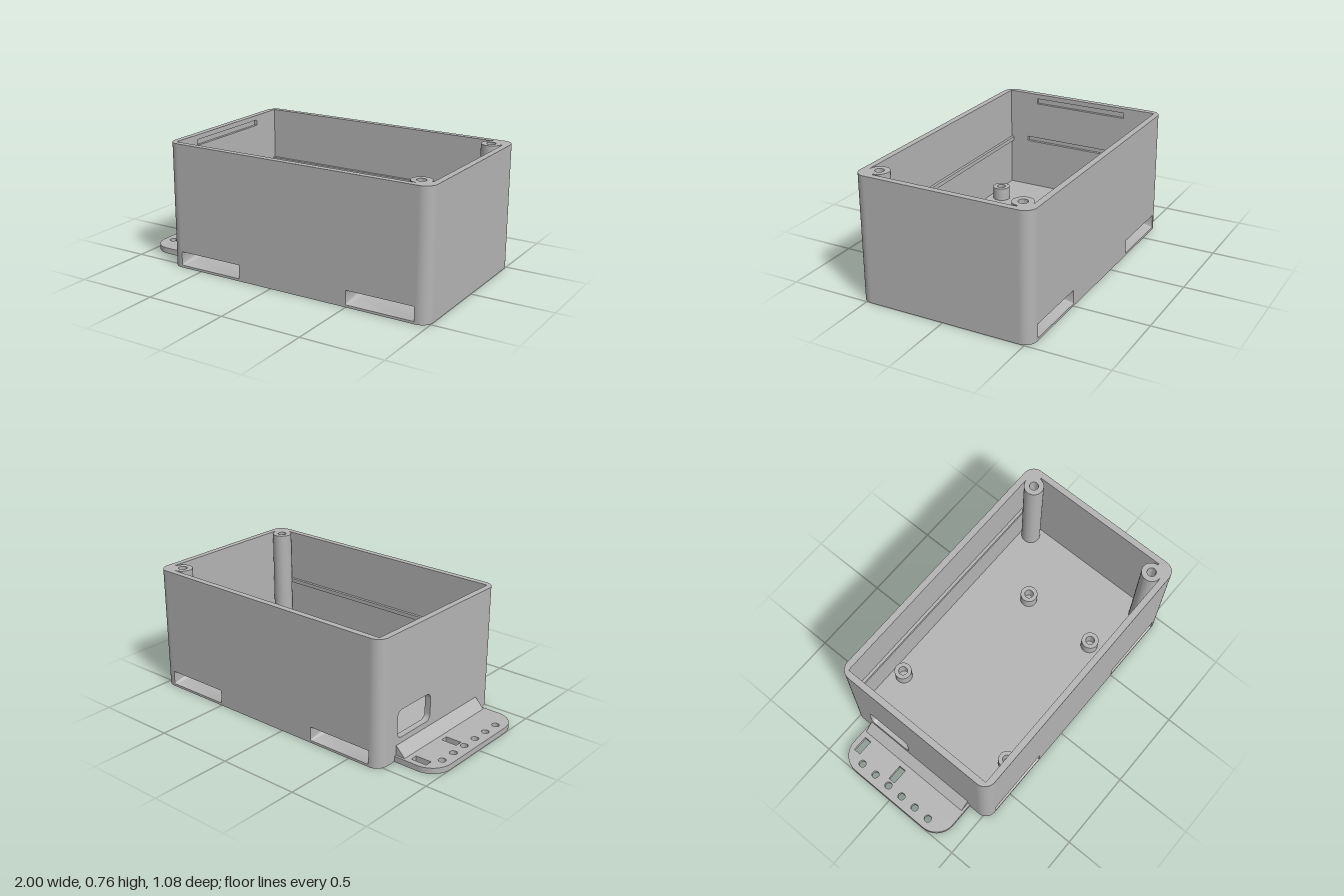
import * as THREE from 'three';
import { toCreasedNormals } from 'three/addons/utils/BufferGeometryUtils.js';

const X0 = -0.715, X1 = 1, Z = 0.54, H = 0.765;   // outer body
const T = 0.038, R = 0.07, FLOOR = 0.125;         // wall, corner radius, floor top
const TAU = Math.PI * 2;

export function createModel() {
  const model = new THREE.Group();
  const grey = new THREE.MeshStandardMaterial({ color: 0xb4b4b4 });
  grey.name = 'grey plastic';
  const inside = new THREE.MeshStandardMaterial({ color: 0xb4b4b4, side: THREE.DoubleSide });
  inside.name = 'grey plastic tunnel';

  const add = (name, geometry, x = 0, y = 0, z = 0, material = grey) => {
    const mesh = new THREE.Mesh(geometry, material);
    mesh.name = name;
    mesh.position.set(x, y, z);
    model.add(mesh);
    return mesh;
  };
  const box = (name, x0, x1, y0, y1, z0, z1) =>
    add(name, new THREE.BoxGeometry(x1 - x0, y1 - y0, z1 - z0), (x0 + x1) / 2, (y0 + y1) / 2, (z0 + z1) / 2);
  const extrude = (shape, depth) => toCreasedNormals(
    new THREE.ExtrudeGeometry(shape, { depth, bevelEnabled: false, curveSegments: 12 }), 0.6);
  const upright = (shape, depth) => extrude(shape, depth).rotateX(-Math.PI / 2);
  const circle = (x, y, r) => new THREE.Path().absarc(x, y, r, 0, TAU, true);

  // Points round a rectangle with rounded corners
  const roundRect = (x0, x1, y0, y1, r) => {
    const points = [];
    [[x1 - r, y1 - r], [x0 + r, y1 - r], [x0 + r, y0 + r], [x1 - r, y0 + r]].forEach(([cx, cy], i) => {
      for (let k = 0; k <= 8; k++) {
        const a = (i + k / 8) * Math.PI / 2;
        points.push(new THREE.Vector2(cx + r * Math.cos(a), cy + r * Math.sin(a)));
      }
    });
    return points;
  };
  const rect = (...args) => new THREE.Shape(
    [[0, 2], [1, 2], [1, 3], [0, 3]].map(([i, j]) => new THREE.Vector2(args[i], args[j])));

  // Long walls with strap slots
  const slots = [[-0.64, -0.22], [0.5, 0.92]];
  const longWall = rect(X0 + R, X1 - R, 0, H);
  slots.forEach(([a, b]) => longWall.holes.push(rect(a, b, 0.015, 0.1)));
  add('frontWall', extrude(longWall, T), 0, 0, Z - T);
  add('backWall', extrude(longWall, T), 0, 0, -Z);

  // Strap tunnels under the floor, flared at both mouths
  slots.forEach(([a, b]) => {
    const mouth = roundRect(a, b, 0.015, 0.1, 0.003);
    const bore = roundRect(a + 0.01, b - 0.01, 0.03, 0.085, 0.027);
    const rings = [[mouth, Z], [bore, Z - 0.1], [bore, 0.1 - Z], [mouth, -Z]];
    const n = mouth.length, pos = [], index = [];
    rings.forEach(([points, z]) => points.forEach(p => pos.push(p.x, p.y, z)));
    for (let i = 0; i < 3; i++) for (let j = 0; j < n; j++) {
      const p = i * n + j, q = i * n + (j + 1) % n;
      index.push(p, q, p + n, q, q + n, p + n);
    }
    const g = new THREE.BufferGeometry();
    g.setAttribute('position', new THREE.Float32BufferAttribute(pos, 3));
    g.setIndex(index);
    add('strapTunnel', toCreasedNormals(g, 0.6), 0, 0, 0, inside);
  });

  // Right end wall is plain; the other has a port window and two inner grooves
  box('plainEndWall', X1 - T, X1, 0, H, R - Z, Z - R);
  const portWall = grooves => {
    const s = rect(R - Z, Z - R, 0, H);
    s.holes.push(new THREE.Path(roundRect(-0.38, -0.08, 0.13, 0.3, 0.035)));
    if (grooves) s.holes.push(rect(-0.3, 0.31, 0.7, 0.735), rect(-0.38, 0.38, 0.435, 0.465));
    return extrude(s, T / 2).rotateY(-Math.PI / 2);
  };
  add('portWallOuter', portWall(false), X0 + T / 2);
  add('portWallInner', portWall(true), X0 + T);

  // Rounded vertical corners, square on the inside
  const corner = new THREE.Shape();
  corner.moveTo(R, 0);
  corner.absarc(0, 0, R, 0, Math.PI / 2, false);
  corner.lineTo(0, R - T);
  corner.lineTo(R - T, R - T);
  corner.lineTo(R - T, 0);
  [[X1 - R, R - Z], [X0 + R, R - Z], [X0 + R, Z - R], [X1 - R, Z - R]].forEach(([x, z], i) => {
    add('cornerWall', upright(corner, H), x, 0, z).rotation.y = i * Math.PI / 2;
  });

  // Underside and inner floor
  box('underside', X0 + T, X1 - T, 0, 0.012, T - Z, Z - T);
  box('floor', X0 + T, X1 - T, 0.11, FLOOR, T - Z, Z - T);

  // Thin ledges along the long walls
  for (const s of [-1, 1]) {
    const a = s * (Z - T), b = s * (Z - T - 0.018);
    box('ledge', X0 + T, 0.88, 0.42, 0.445, Math.min(a, b), Math.max(a, b));
  }

  // Full-height lid screw posts joined to the corners
  const post = new THREE.Shape();
  const w = 0.07;
  post.moveTo(w, 0);
  post.lineTo(w, w);
  post.lineTo(0, w);
  post.absarc(0, 0, 0.06, Math.PI / 2, TAU, false);
  post.holes.push(circle(0, 0, 0.027));
  [[-0.44, 0], [0.44, -Math.PI / 2]].forEach(([z, turn]) => {
    add('lidPost', upright(post, H - FLOOR), 0.893, FLOOR, z).rotation.y = turn;
  });

  // Short board standoffs
  const ring = new THREE.Shape().absarc(0, 0, 0.053, 0, TAU, false);
  ring.holes.push(circle(0, 0, 0.027));
  [[-0.365, -0.43], [-0.388, 0.42], [0.53, -0.16], [0.53, 0.33]].forEach(([x, z]) =>
    add('standoff', upright(ring, 0.08), x, FLOOR, z));

  // Mounting flange with round holes and strap slots (shape y is -z)
  const flange = new THREE.Shape();
  flange.moveTo(X0 + 0.01, -0.4);
  flange.lineTo(X0 + 0.01, 0.405);
  flange.lineTo(-0.87, 0.405);
  flange.absarc(-0.87, 0.275, 0.13, Math.PI / 2, Math.PI, false);
  flange.absarc(-0.87, -0.27, 0.13, Math.PI, Math.PI * 1.5, false);
  for (let i = 0; i < 6; i++) flange.holes.push(circle(-0.94, 0.27 - i * 0.106, 0.022));
  flange.holes.push(rect(-0.905, -0.805, 0.325, 0.37), rect(-0.905, -0.805, 0.04, 0.085));
  add('flange', upright(flange, 0.035));

  // Sloped brace between flange and wall
  const brace = new THREE.Shape([[-0.775, 0.034], [X0 + 0.005, 0.034], [X0 + 0.005, 0.095], [X0, 0.095]]
    .map(p => new THREE.Vector2(...p)));
  add('flangeBrace', extrude(brace, 0.775), 0, 0, -0.39);

  return model;
}
